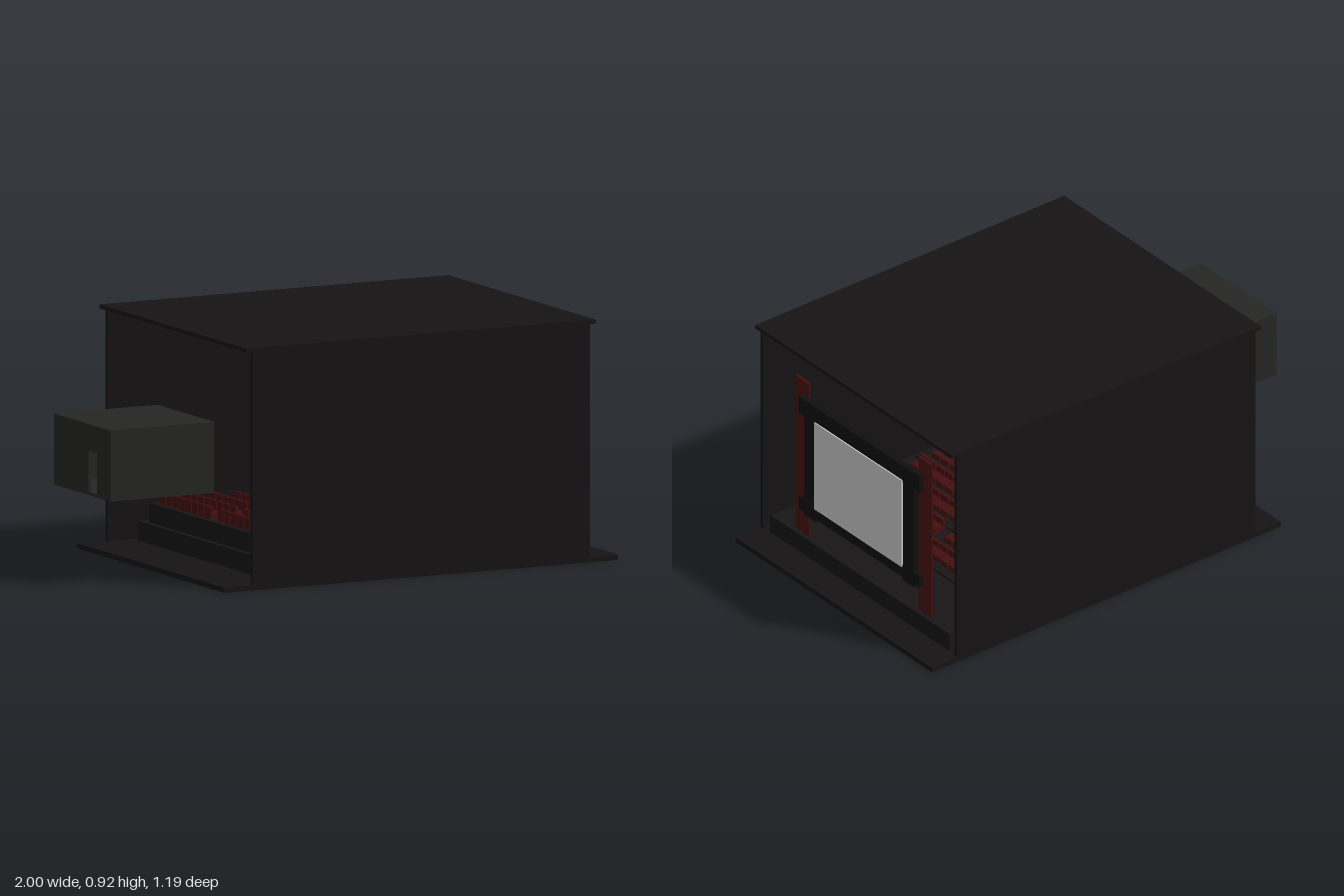
import * as THREE from 'three';

const mat = (color) => new THREE.MeshStandardMaterial({ color });

export function createModel() {
  const root = new THREE.Group();
  const shell = mat(0x151314), black = mat(0x0f0f0f), red = mat(0x430f10);
  const boothMat = mat(0x252623), white = mat(0xcccccc), step = mat(0x171516);

  const group = (name, parent = root) => {
    const g = new THREE.Group();
    g.name = name;
    parent.add(g);
    return g;
  };
  // Box given by its minimum and maximum along each axis
  const box = (name, m, x0, x1, y0, y1, z0, z1, parent = root) => {
    const mesh = new THREE.Mesh(new THREE.BoxGeometry(x1 - x0, y1 - y0, z1 - z0), m);
    mesh.position.set((x0 + x1) / 2, (y0 + y1) / 2, (z0 + z1) / 2);
    mesh.name = name;
    parent.add(mesh);
    return mesh;
  };

  // Hall shell, open at both ends
  box('floor', shell, -0.67, 1, 0, 0.02, -0.593, 0.593);
  box('roof', shell, -0.575, 0.905, 0.905, 0.92, -0.593, 0.593);
  for (const s of [-1, 1]) {
    const z = s * 0.585;
    box('sideWall', shell, -0.55, 0.88, 0.02, 0.905, z - 0.008, z + 0.008);
  }

  // Platform and gently rising steps with seat rows
  box('platform', step, -0.44, 0.875, 0.02, 0.095, -0.54, 0.54);
  const rows = 10, pitch = 0.105, front = 0.64;
  const seating = group('seating');
  for (let r = 0; r < rows; r++) {
    const x1 = front - r * pitch, x0 = x1 - pitch;
    const y0 = 0.095 + r * 0.0075, y = y0 + 0.0075;
    box('step', step, -0.42, x1, y0, y, -0.49, 0.49, seating);
    for (const s of [-1, 1]) {
      for (let i = 0; i < 8; i++) {
        const z = s * (0.0525 + i * 0.052);
        const seat = group('seat', seating);
        box('cushion', red, x0 + 0.02, x0 + 0.065, y, y + 0.022, z - 0.0225, z + 0.0225, seat);
        box('backrest', red, x0 + 0.01, x0 + 0.022, y, y + 0.048, z - 0.0225, z + 0.0225, seat);
      }
    }
  }

  // Screen and its frame
  box('screen', white, 0.865, 0.885, 0.26, 0.642, -0.263, 0.263);
  const frame = group('screenFrame');
  box('topBar', black, 0.858, 0.88, 0.635, 0.707, -0.363, 0.363, frame);
  box('bottomBar', black, 0.858, 0.88, 0.215, 0.268, -0.363, 0.363, frame);
  for (const s of [-1, 1]) {
    const z = s * 0.295;
    box('sidePost', black, 0.856, 0.878, 0.2, 0.7, z - 0.035, z + 0.035, frame);
  }

  // Pleated curtains made of narrow vertical folds
  for (const s of [-1, 1]) {
    const curtain = group('curtain');
    for (let i = 0; i < 8; i++) {
      const fold = new THREE.Mesh(new THREE.CylinderGeometry(0.0065, 0.0065, 0.675, 10), red);
      fold.position.set(0.852, 0.4325, s * (0.3365 + i * 0.0096));
      fold.name = 'curtainFold';
      curtain.add(fold);
    }
  }

  // Projection booth: hollow box with a doorway outside and a port to the hall
  const booth = group('projectionBooth');
  box('boothFloor', boothMat, -1, -0.56, 0.33, 0.342, -0.153, 0.303, booth);
  box('boothRoof', boothMat, -1, -0.56, 0.588, 0.6, -0.153, 0.303, booth);
  box('boothSide', boothMat, -1, -0.56, 0.342, 0.588, -0.153, -0.141, booth);
  box('boothSide', boothMat, -1, -0.56, 0.342, 0.588, 0.291, 0.303, booth);
  const endWall = (name, x, z0, z1, y0, y1) => {
    const wall = group(name, booth);
    box('panel', boothMat, x, x + 0.012, 0.342, 0.588, -0.141, z0, wall);
    box('panel', boothMat, x, x + 0.012, 0.342, 0.588, z1, 0.291, wall);
    box('lintel', boothMat, x, x + 0.012, y1, 0.588, z0, z1, wall);
    if (y0 > 0.342) box('sill', boothMat, x, x + 0.012, 0.342, y0, z0, z1, wall);
  };
  endWall('doorWall', -1, 0.125, 0.195, 0.342, 0.5);
  endWall('portWall', -0.572, 0.03, 0.13, 0.44, 0.5);

  // Projector on a stand inside the booth
  box('projectorStand', red, -0.84, -0.7, 0.342, 0.43, 0.05, 0.11, booth);
  box('projectorBody', black, -0.86, -0.68, 0.43, 0.5, 0.04, 0.12, booth);
  const lens = new THREE.Mesh(new THREE.CylinderGeometry(0.02, 0.02, 0.06, 16), white);
  lens.rotation.z = Math.PI / 2;
  lens.position.set(-0.65, 0.47, 0.08);
  lens.name = 'projectorLens';
  booth.add(lens);
  return root;
}
